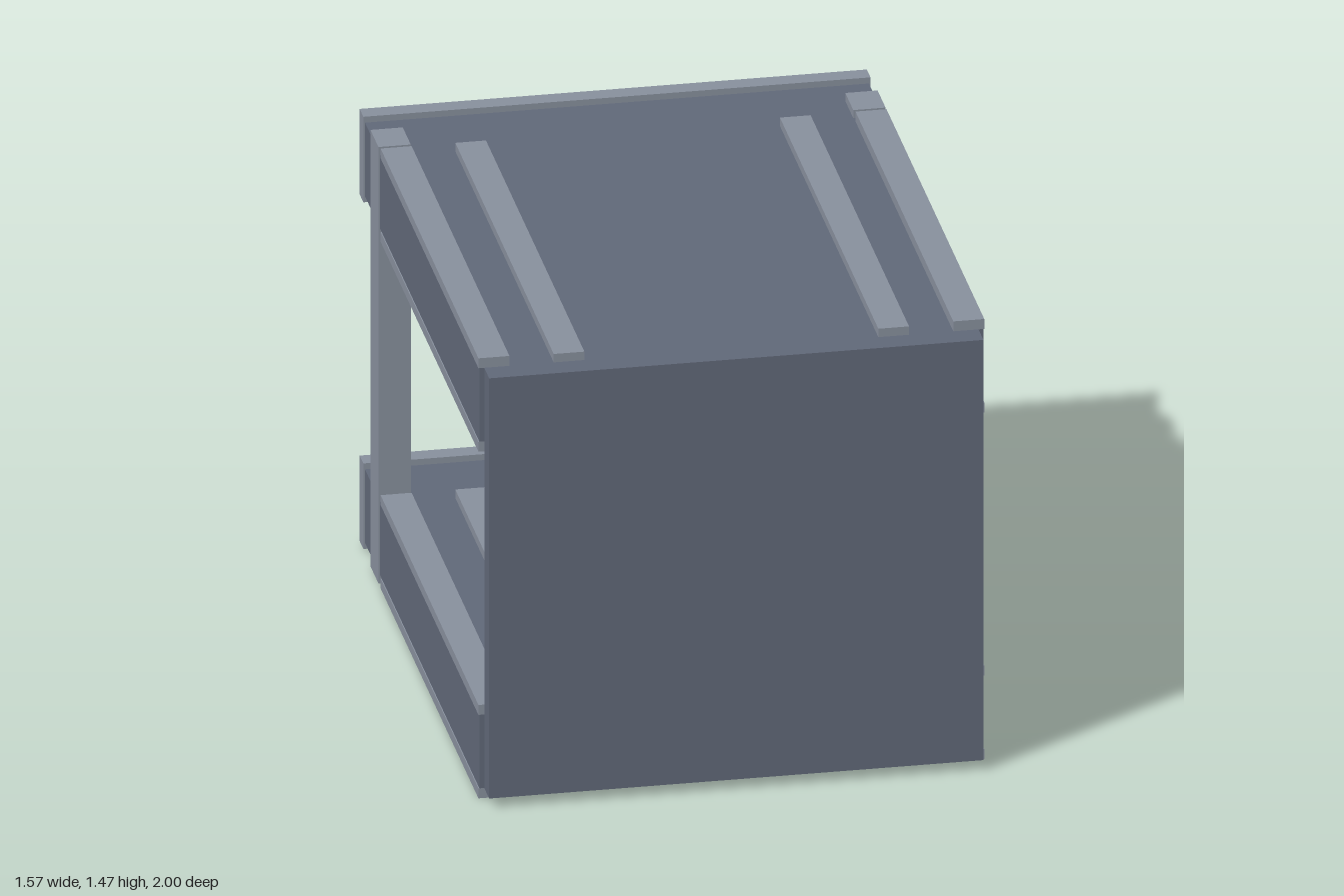
import * as THREE from 'three';

export function createModel() {
  const model = new THREE.Group();
  model.name = 'openFrameBox';

  const material = (name, color) => {
    const m = new THREE.MeshStandardMaterial({ color });
    m.name = name;
    return m;
  };
  const slate = material('dark slate', 0x606878);
  const steel = material('light steel', 0x878f9c);
  const red = material('dark red', 0x8a2a3c);

  // Box given by its [min, max] extents on each axis
  const addBox = (parent, name, mat, [x0, x1], [y0, y1], [z0, z1]) => {
    const mesh = new THREE.Mesh(new THREE.BoxGeometry(x1 - x0, y1 - y0, z1 - z0), mat);
    mesh.position.set((x0 + x1) / 2, (y0 + y1) / 2, (z0 + z1) / 2);
    mesh.name = name;
    parent.add(mesh);
  };
  // The same box on the left (+x) and right (-x)
  const addPair = (parent, name, mat, [x0, x1], y, z) => {
    addBox(parent, name + 'Left', mat, [x0, x1], y, z);
    addBox(parent, name + 'Right', mat, [-x1, -x0], y, z);
  };

  // Front wall with a thin red strip on its inner face
  addBox(model, 'frontPanel', slate, [-0.765, 0.765], [0.035, 1.435], [0.92, 1]);
  addBox(model, 'innerRedStrip', red, [-0.56, 0.56], [0.70, 0.77], [0.914, 0.921]);

  // Floor and roof decks, each with rails above and below and a back bar
  for (const [name, y] of [['floor', 0.035], ['roof', 1.19]]) {
    const deck = new THREE.Group();
    deck.name = name;
    const top = y + 0.245;
    addBox(deck, name + 'Slab', slate, [-0.78, 0.78], [y, top], [-0.94, 0.92]);
    addBox(deck, name + 'BackBar', steel, [-0.785, 0.785], [y - 0.02, top + 0.02], [-1, -0.94]);
    for (const [side, base, dir] of [['Upper', top, 1], ['Lower', y, -1]]) {
      const span = (h) => (dir > 0 ? [base, base + h] : [base - h, base]);
      addPair(deck, name + side + 'EdgeRail', steel, [0.687, 0.783], span(0.033), [-0.67, 0.92]);
      addPair(deck, name + side + 'InnerRail', steel, [0.455, 0.55], span(0.028), [-0.68, 0.92]);
    }
    model.add(deck);
  }

  // Rear posts passing through both decks
  addPair(model, 'rearPost', steel, [0.685, 0.785], [0.008, 1.462], [-0.825, -0.695]);

  return model;
}
